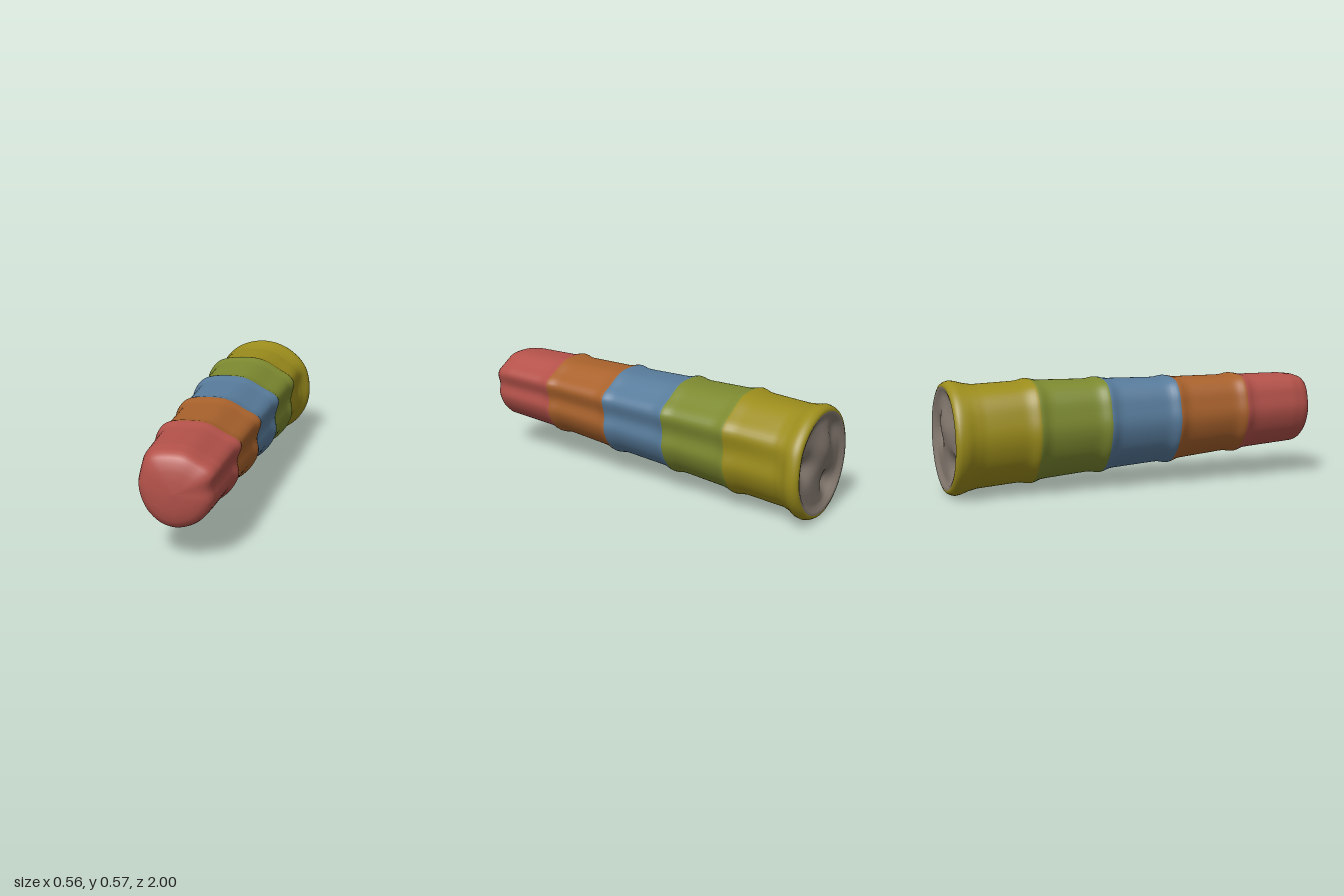
import * as THREE from 'three';

const SEG = 80;

// Unit cross-section: flat top, ridge with a groove below it on each side, round belly
const outline = new THREE.CatmullRomCurve3([
  [1, .5], [.9, .12], [.94, -.2], [.78, -.55], [.45, -.86], [0, -1], [-.42, -.9], [-.78, -.57],
  [-.95, -.2], [-1, .1], [-.95, .4], [-.86, .7], [-.65, .93], [0, 1], [.28, .96], [.65, .77], [.92, .63],
].map(([x, y]) => new THREE.Vector3(x, y, 0)), true).getSpacedPoints(SEG).slice(0, SEG);

// Stations from front to back: z, left, right, bottom, top, roundness
const stations = [
  [.93, -.235, .125, .172, .542, .1],
  [.87, -.245, .135, .168, .549, 0],
  [.57, -.252, .152, .147, .55, 0],
  [.185, -.254, .176, .11, .55, .05],
  [-.195, -.256, .204, .082, .555, .1],
  [-.565, -.26, .232, .05, .56, .2],
  [-.84, -.258, .236, .03, .55, .45],
  [-.89, -.266, .252, .018, .558, .65],
  [-.925, -.278, .275, .004, .568, .85],
  [-.95, -.281, .281, 0, .572, .9],
  [-.97, -.279, .278, .006, .566, .92],
];
const joints = [.57, .185, -.195, -.565];

// Station part-way between two others, swollen near the joints
function between(from, to, t) {
  const [z, l, r, b, top, round] = from.map((v, i) => THREE.MathUtils.lerp(v, to[i], t));
  const swell = joints.reduce((sum, j) => sum + Math.exp(-(((z - j) / .036) ** 2)), 0);
  return [z, l - .019 * swell, r + .014 * swell, b - .013 * swell, top + .01 * swell, round];
}

// Ring of points for a station, optionally shrunk towards its middle
function ring([z, l, r, b, t, round], scale = 1, newZ = z, relief = () => 0) {
  return outline.map((p) => {
    const d = Math.hypot(p.x, p.y);
    const u = THREE.MathUtils.lerp(p.x, p.x / d, round) * scale;
    const v = THREE.MathUtils.lerp(p.y, p.y / d, round) * scale;
    const x = (l + r) / 2 + u * (r - l) / 2, y = (b + t) / 2 + v * (t - b) / 2;
    return [x, y, newZ + relief(x, y)];
  });
}

// Soft pits and a low mound on the rear face
const blob = (x, y, cx, cy, w) => Math.exp(-((x - cx) ** 2 + (y - cy) ** 2) / (w * w));
const rearRelief = (x, y) => .045 * blob(x, y, .14, .3, .06) + .05 * blob(x, y, -.1, .16, .055)
  + .02 * blob(x, y, -.14, .42, .07) - .028 * blob(x, y, -.02, .36, .1);

export function createModel() {
  const group = new THREE.Group();
  const rows = [];
  const cuts = [0];

  // Domed front end
  for (const [s, z] of [[0, 1], [.3, .997], [.55, .99], [.75, .98], [.88, .967], [.96, .95]]) {
    rows.push(ring(stations[0], s, z));
  }

  // Tapering body; the skin is cut at each joint
  const last = stations[stations.length - 1];
  stations.slice(0, -1).forEach((from, i) => {
    const to = stations[i + 1];
    if (joints.includes(from[0])) cuts.push(rows.length);
    const steps = Math.ceil((from[0] - to[0]) / .018);
    for (let k = 0; k < steps; k++) rows.push(ring(between(from, to, k / steps)));
  });

  // Rolled rim and shallow dished rear face
  rows.push(ring(last), ring(last, .97, -.983), ring(last, .92, -.988));
  cuts.push(rows.length - 1);
  rows.push(ring(last, .86, -.983));
  for (let k = 10; k >= 0; k--) rows.push(ring(last, k * .08, -.972, rearRelief));
  cuts.push(rows.length - 1);

  // One continuous skin, so shading runs smoothly across the colour joints
  const skin = new THREE.BufferGeometry();
  skin.setAttribute('position', new THREE.Float32BufferAttribute(rows.flat(2), 3));
  const index = [];
  for (let i = 0; i < rows.length - 1; i++) {
    for (let j = 0; j < SEG; j++) {
      const k = (j + 1) % SEG;
      const a = i * SEG + j, b = i * SEG + k, c = a + SEG, d = b + SEG;
      index.push(a, b, c, b, d, c);
    }
  }
  skin.setIndex(index);
  skin.computeVertexNormals();

  // Cut the skin into coloured sections
  const sections = [
    ['frontSection', 0xb4524a],
    ['secondSection', 0xa9622c],
    ['middleSection', 0x587c9c],
    ['fourthSection', 0x7d8a30],
    ['rearSection', 0x9c8d1c],
    ['rearFace', 0x857a70],
  ];
  sections.forEach(([name, color], i) => {
    const part = skin.clone();
    part.setIndex(index.slice(cuts[i] * SEG * 6, cuts[i + 1] * SEG * 6));
    const mesh = new THREE.Mesh(part.toNonIndexed(), new THREE.MeshStandardMaterial({ color }));
    mesh.name = name;
    group.add(mesh);
  });
  return group;
}
